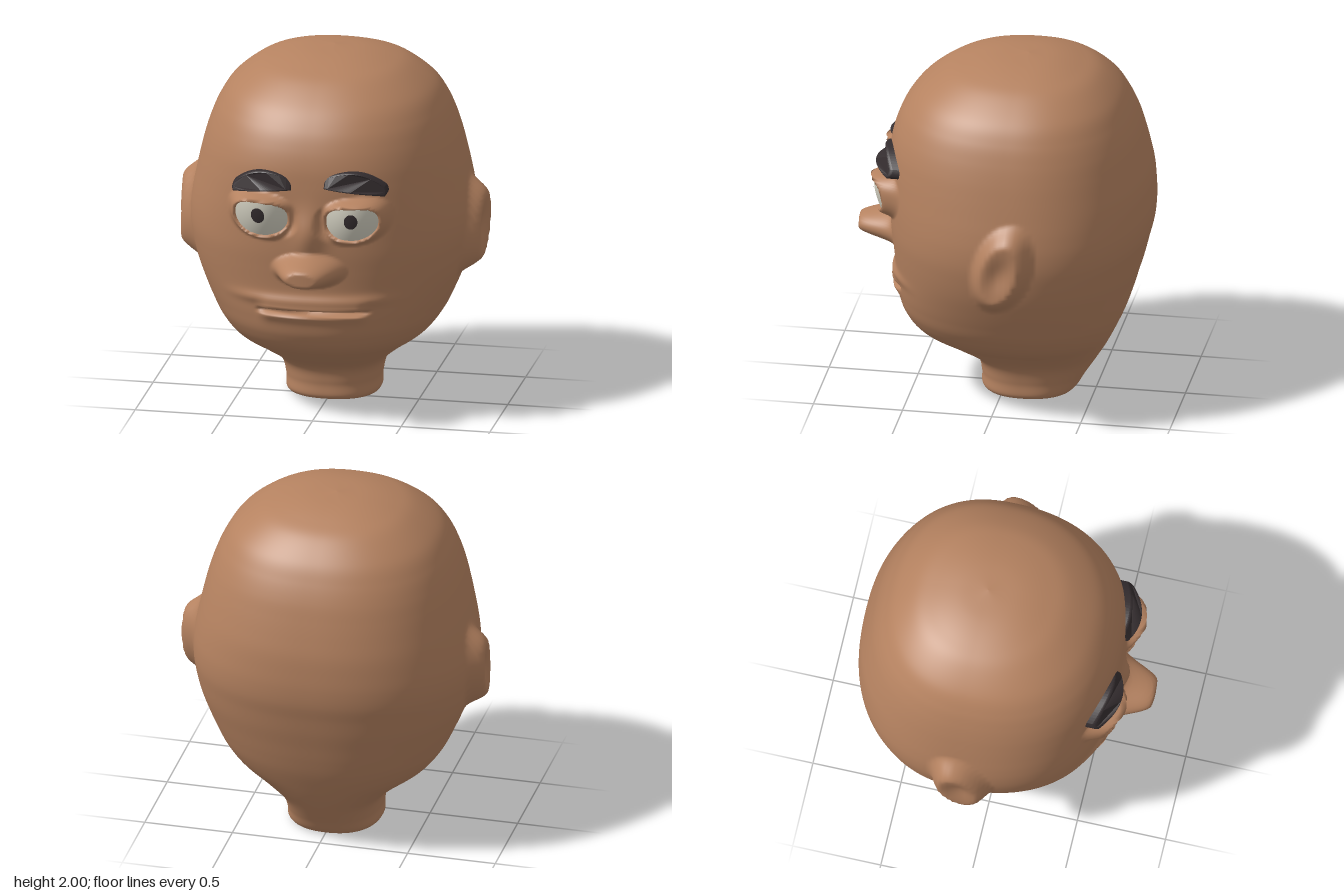
import * as THREE from 'three';

const material = (name, color) => Object.assign(new THREE.MeshStandardMaterial({ color }), { name });
const skin = material('skin', 0xb58260);
const hair = material('dark brown', 0x352e30);
const white = material('eye white', 0xd3d0c1);

const { smoothstep, lerp } = THREE.MathUtils;
const bell = (d, s) => Math.exp(-((d / s) ** 2));
const spow = (v, p) => Math.sign(v) * Math.abs(v) ** p;

// Head sections, bottom to top: height, half width, front z, back z
const MID = -0.12;
const SECTIONS = [
  [0, 0, MID, MID], [0, 0.2, 0.07, -0.34], [0.02, 0.26, 0.13, -0.395], [0.1, 0.265, 0.135, -0.445],
  [0.2, 0.295, 0.17, -0.51], [0.3, 0.4, 0.34, -0.57], [0.4, 0.535, 0.5, -0.62], [0.5, 0.615, 0.57, -0.665],
  [0.6, 0.665, 0.595, -0.7], [0.7, 0.708, 0.605, -0.73], [0.8, 0.745, 0.61, -0.76], [0.9, 0.77, 0.62, -0.785],
  [1, 0.785, 0.63, -0.81], [1.1, 0.785, 0.635, -0.82], [1.2, 0.772, 0.64, -0.818], [1.3, 0.752, 0.642, -0.81],
  [1.4, 0.73, 0.64, -0.79], [1.5, 0.705, 0.63, -0.765], [1.6, 0.673, 0.602, -0.735], [1.7, 0.63, 0.553, -0.69],
  [1.8, 0.562, 0.47, -0.628], [1.9, 0.435, 0.335, -0.52], [1.95, 0.325, 0.215, -0.41], [1.985, 0.18, 0.07, -0.28],
  [2, 0, MID, MID],
];

// Eyes: shared curved surface and outline, in offsets from each eye centre
const EYES = [{ side: -1, x: -0.262, y: 1.222 }, { side: 1, x: 0.25, y: 1.217 }];
const eyeZ = (dx, dy) => 0.695 - 3.3 * dx * dx - 1.5 * dy * dy + 0.2 * dy;
const eyeTilt = 0.08;
const eyeRadius = (dx, dy) => {
  const n = dy > 0 ? 2.6 : 2.2;
  return (Math.abs(dx / 0.143) ** n + Math.abs(dy / (dy > 0 ? 0.088 : 0.1)) ** n) ** (1 / n);
};

// Pushes the plain head surface out into ears, nose, eyelids and lips
function sculpt(p) {
  const { x, y } = p;
  if (Math.abs(x) > 0.5) {
    const r = Math.hypot((p.z + 0.1 + 0.2 * (y - 1.01)) / 0.115, (y - 1.01) / 0.19);
    const k = 1 - smoothstep(r, 0.85, 1.5);
    const rim = 0.857 - 0.1 * (p.z + 0.1) - 0.03 * bell(r, 0.55);
    p.x = Math.sign(x) * lerp(Math.abs(x), rim, k);
  }
  if (p.z < 0.25) return;
  // Bridge and nose
  p.z += 0.045 * bell(x, 0.08) * bell(y - 1.12, 0.13);
  const nose = Math.hypot(x / 0.17, (y - 0.915) / 0.085);
  p.z = lerp(p.z, 0.826 - 0.8 * x * x, 1 - smoothstep(nose, 0.45, 1.3));
  // Eye sockets and lids
  for (const e of EYES) {
    const dx = x - e.x, dy = y - e.y - eyeTilt * dx * e.side;
    if (Math.abs(dx) > 0.3 || Math.abs(dy) > 0.3) continue;
    const r = eyeRadius(dx, dy);
    const lid = eyeZ(dx, dy) + lerp(-0.03, 0.025, smoothstep(r, 0.94, 1.1));
    p.z = lerp(p.z, lid, 1 - smoothstep(r, 1.12, 1.5));
  }
  // Lips and the slit between them
  const my = y - 0.657 - 0.02 * x;
  const span = 1 - smoothstep(Math.abs(x - 0.015), 0.24, 0.34);
  p.z += span * (0.03 * bell(my, 0.05) - 0.075 * bell(my, 0.011));
  p.z += 0.015 * bell(my - 0.07, 0.03) * (1 - smoothstep(Math.abs(x), 0.3, 0.55));
}

function gridGeometry(positions, indices) {
  const g = new THREE.BufferGeometry();
  g.setAttribute('position', new THREE.Float32BufferAttribute(positions, 3));
  g.setIndex(indices);
  g.computeVertexNormals();
  return g;
}

function headGeometry() {
  const curve = (k) => new THREE.CatmullRomCurve3(
    SECTIONS.map((s) => new THREE.Vector3(s[1], s[0], s[k])), false, 'catmullrom', 0.5);
  const front = curve(2), back = curve(3);
  const rings = 216, around = 256, pos = [], idx = [];
  const p = new THREE.Vector3();
  for (let i = 0; i <= rings; i++) {
    const f = front.getPoint(i / rings), b = back.getPoint(i / rings);
    for (let j = 0; j < around; j++) {
      const u = (j / around) * Math.PI * 2;
      const a = u - 0.45 * Math.sin(u); // closer columns on the face
      const c = spow(Math.cos(a), 2 / 2.3);
      p.set(f.x * spow(Math.sin(a), 2 / 2.3), f.y, MID + c * (c > 0 ? f.z - MID : MID - b.z));
      sculpt(p);
      pos.push(p.x, Math.max(0, p.y), p.z);
      if (i === rings) continue;
      const q = i * around + j, r = i * around + ((j + 1) % around);
      idx.push(q, r, r + around, q, r + around, q + around);
    }
  }
  return gridGeometry(pos, idx);
}

// Curved disc lying on the eye surface; outline(angle) gives its edge
function eyePatch(e, cx, cy, outline, lift) {
  const rings = 12, around = 48, pos = [], idx = [];
  for (let i = 0; i <= rings; i++) {
    for (let j = 0; j < around; j++) {
      const a = (j / around) * Math.PI * 2, r = (outline(a) * i) / rings;
      const dx = cx + r * Math.cos(a), dy = cy + r * Math.sin(a);
      pos.push(e.x + dx, e.y + dy + eyeTilt * dx * e.side, eyeZ(dx, dy) + lift);
      if (i === rings) continue;
      const q = i * around + j, s = i * around + ((j + 1) % around);
      idx.push(q, q + around, s + around, q, s + around, s);
    }
  }
  return gridGeometry(pos, idx);
}

// Arched brow, bent around the forehead and thicker at its lower edge
function browGeometry(side, lift) {
  const s = new THREE.Shape();
  s.moveTo(0.1, 1.39);
  s.quadraticCurveTo(0.28, 1.395, 0.425, 1.355);
  s.quadraticCurveTo(0.435, 1.365, 0.42, 1.395);
  s.bezierCurveTo(0.33, 1.475, 0.24, 1.5, 0.1, 1.435);
  s.closePath();
  const g = new THREE.ExtrudeGeometry(s, {
    depth: 0.09, curveSegments: 20, bevelSize: 0.008, bevelThickness: 0.01, bevelSegments: 3,
  });
  const pos = g.attributes.position;
  for (let i = 0; i < pos.count; i++) {
    const x = pos.getX(i), y = pos.getY(i);
    const z = pos.getZ(i) + 0.597 - 2.5 * (x - 0.22) ** 2 - 0.6 * (y - 1.38);
    pos.setXYZ(i, x * side, y + lift, z);
  }
  if (side < 0) { // mirrored triangles need their corners swapped
    const a = new THREE.Vector3(), b = new THREE.Vector3();
    for (let i = 0; i < pos.count; i += 3) {
      a.fromBufferAttribute(pos, i + 1);
      b.fromBufferAttribute(pos, i + 2);
      pos.setXYZ(i + 1, b.x, b.y, b.z);
      pos.setXYZ(i + 2, a.x, a.y, a.z);
    }
  }
  g.computeVertexNormals();
  return g;
}

export function createModel() {
  const model = new THREE.Group();
  model.name = 'head';
  const add = (name, geometry, mat) => {
    const mesh = new THREE.Mesh(geometry, mat);
    mesh.name = name;
    model.add(mesh);
  };
  add('headAndNeck', headGeometry(), skin);
  for (const e of EYES) {
    const label = e.side > 0 ? 'left' : 'right';
    const edge = (a) => 1.06 / eyeRadius(Math.cos(a), Math.sin(a));
    add(label + 'EyeWhite', eyePatch(e, 0, 0, edge, 0), white);
    const pupil = (a) => 1 / Math.hypot(Math.cos(a) / 0.038, Math.sin(a) / 0.044);
    add(label + 'Pupil', eyePatch(e, e.side > 0 ? 0.005 : -0.008, 0.018, pupil, 0.004), hair);
    add(label + 'Eyebrow', browGeometry(e.side, e.side > 0 ? 0.02 : 0), hair);
  }
  return model;
}
